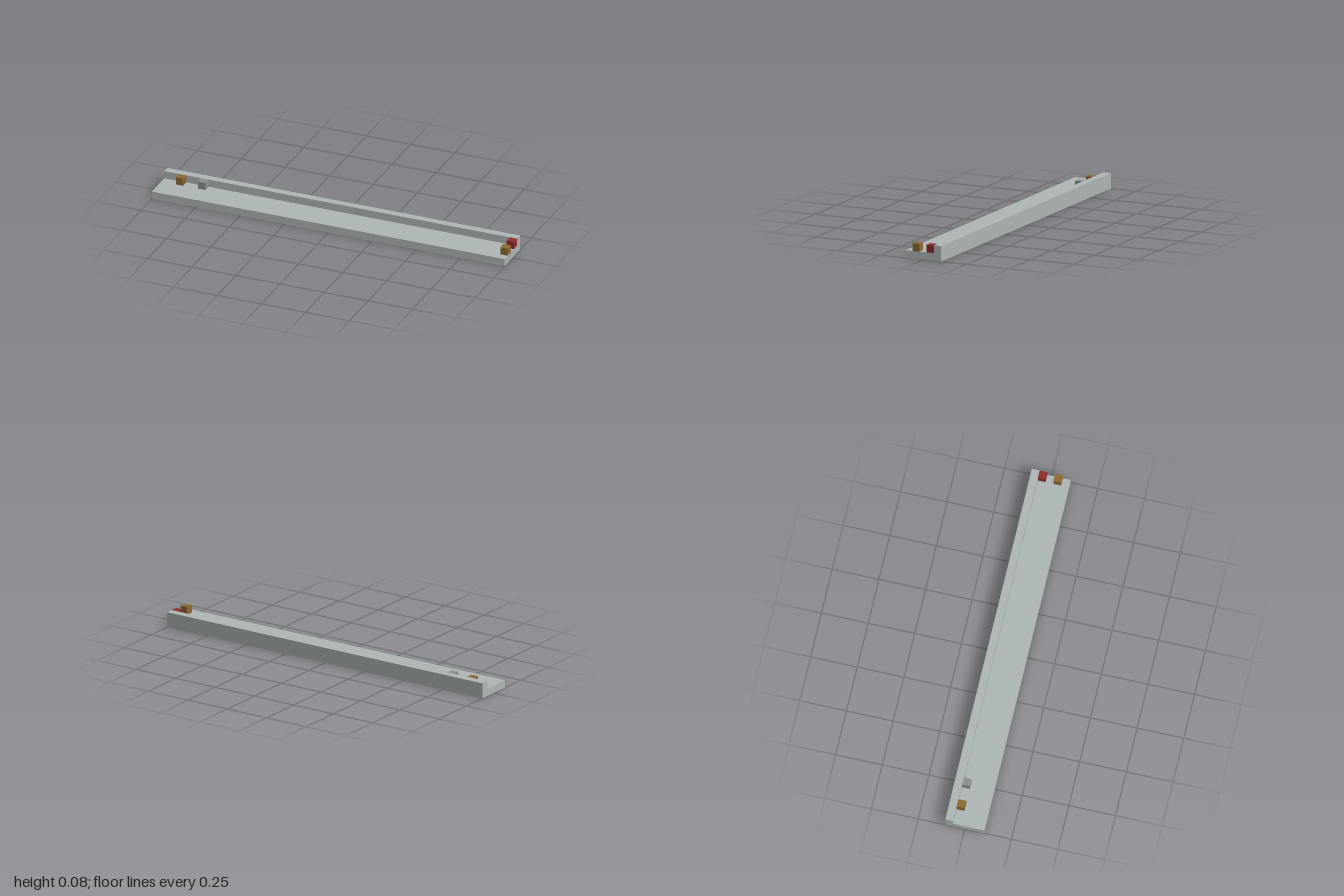
import * as THREE from 'three';

const U = 1 / 24; // block size

function mat(name, color) {
  const m = new THREE.MeshStandardMaterial({ color });
  m.name = name;
  return m;
}

export function createModel() {
  const group = new THREE.Group();
  const stone = mat('pale stone', 0xb0b7b7);
  const darkStone = mat('grey stone', 0x8c9192);
  const wood = mat('brown wood', 0x8f6a33);
  const red = mat('red', 0x8f2d2d);

  // Long stepped slab: low floor with a raised wall along the back
  const profile = new THREE.Shape([
    [-2.5, 0], [2.5, 0], [2.5, 2], [1.5, 2], [1.5, 1], [-2.5, 1],
  ].map(([a, b]) => new THREE.Vector2(a * U, b * U)));
  const slabGeo = new THREE.ExtrudeGeometry(profile, { depth: 2, bevelEnabled: false });
  slabGeo.translate(0, 0, -1).rotateY(Math.PI / 2); // profile +x becomes -z
  const slab = new THREE.Mesh(slabGeo, stone);
  slab.name = 'steppedSlab';
  group.add(slab);

  // Single blocks standing on the floor (centres in block units)
  const blockGeo = new THREE.BoxGeometry(U, U, U);
  const blocks = [
    ['leftFrontWoodBlock', wood, 23.5, 1],
    ['leftRedBlock', red, 23.5, -1],
    ['rightWoodBlock', wood, -21.5, -1],
    ['rightStoneBlock', darkStone, -18.5, -1],
  ];
  for (const [name, material, x, z] of blocks) {
    const block = new THREE.Mesh(blockGeo, material);
    block.name = name;
    block.position.set(x * U, 1.5 * U, z * U);
    group.add(block);
  }
  return group;
}
